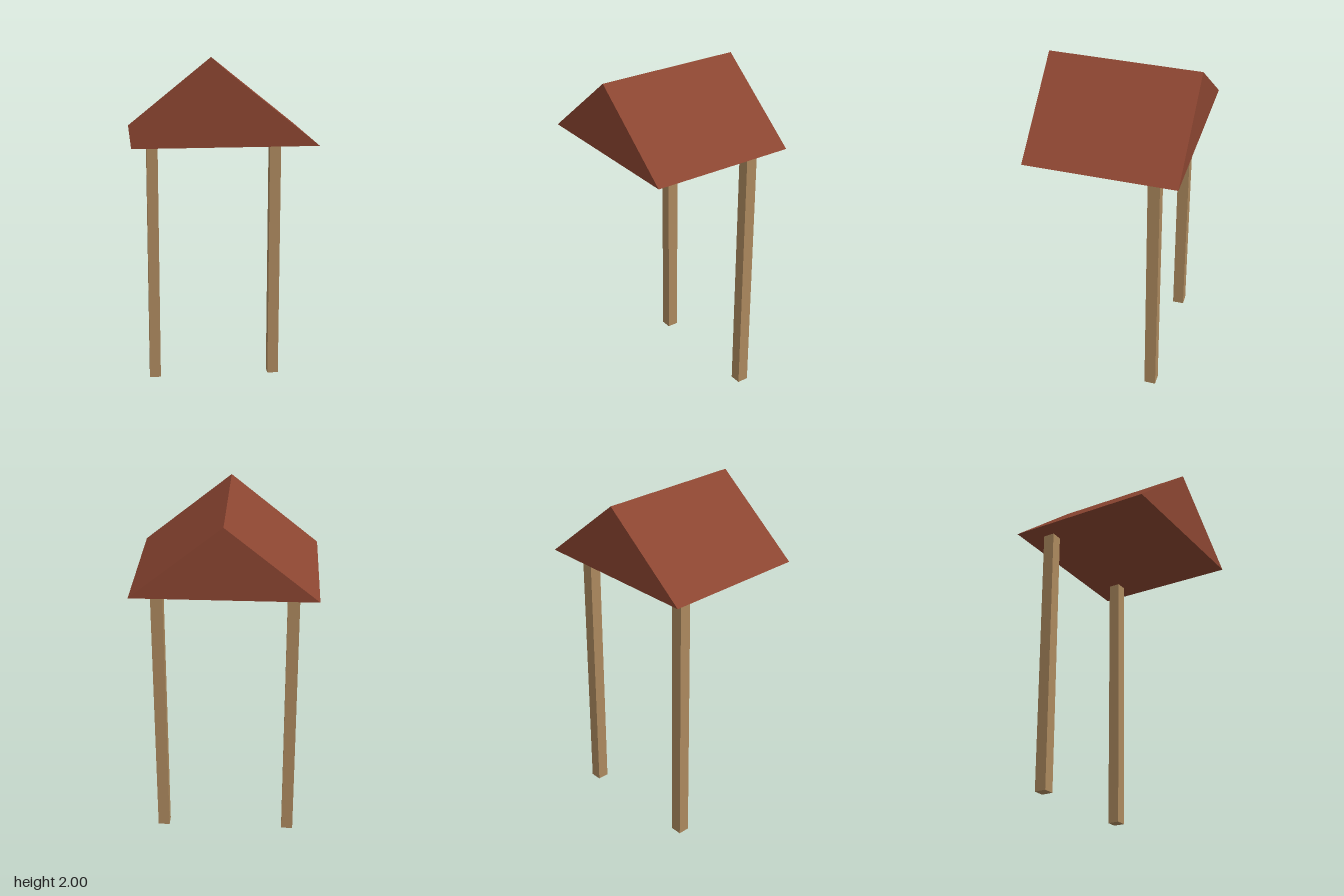
import * as THREE from 'three';

export function createModel() {
  const model = new THREE.Group();
  model.name = 'postShelter';

  const roofRed = new THREE.MeshStandardMaterial({ color: 0x8b4531 });
  roofRed.name = 'roofRed';
  const postWood = new THREE.MeshStandardMaterial({ color: 0xac895e });
  postWood.name = 'postWood';

  const eaveY = 1.587, ridgeY = 2, halfWidth = 0.515, depth = 0.86;
  const postSize = 0.068;

  // Solid gabled roof, ridge running front to back
  const gable = new THREE.Shape();
  gable.moveTo(-halfWidth, eaveY);
  gable.lineTo(halfWidth, eaveY);
  gable.lineTo(0, ridgeY);
  gable.closePath();
  const roofGeometry = new THREE.ExtrudeGeometry(gable, { depth, bevelEnabled: false });
  roofGeometry.translate(0, 0, -depth / 2);
  const roof = new THREE.Mesh(roofGeometry, roofRed);
  roof.name = 'roof';
  model.add(roof);

  // Two square posts near the back
  const postGeometry = new THREE.BoxGeometry(postSize, eaveY, postSize);
  for (const [name, side] of [['leftPost', 1], ['rightPost', -1]]) {
    const post = new THREE.Mesh(postGeometry, postWood);
    post.name = name;
    post.position.set(side * 0.377, eaveY / 2, -0.274);
    model.add(post);
  }

  return model;
}
